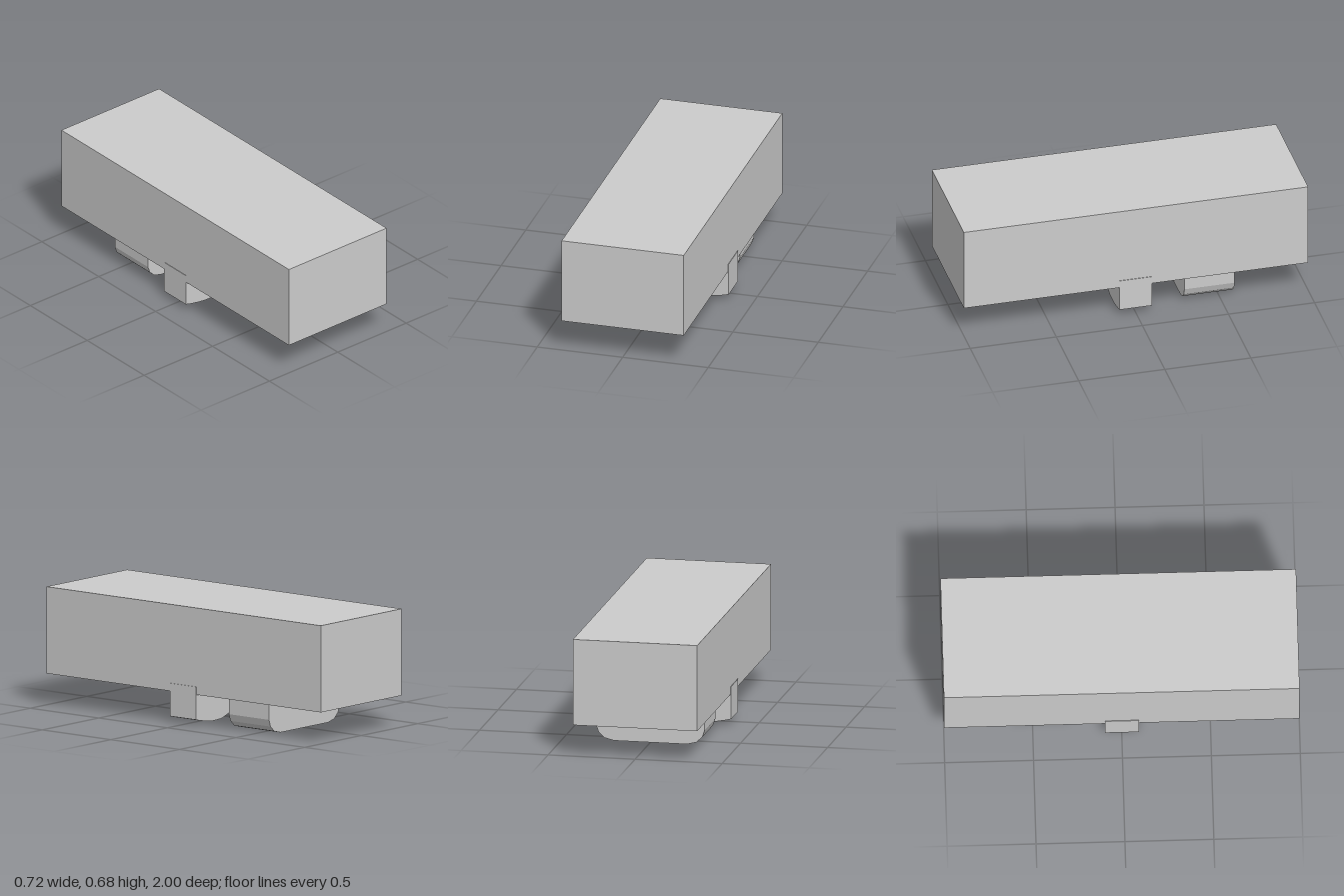
import * as THREE from 'three';

const material = new THREE.MeshStandardMaterial({ color: 0xcccccc, flatShading: true });

// Extrude an x-y outline between two z positions
function slab(name, points, zBack, zFront) {
  const shape = new THREE.Shape(points.map(([x, y]) => new THREE.Vector2(x, y)));
  const geometry = new THREE.ExtrudeGeometry(shape, { depth: zFront - zBack, bevelEnabled: false });
  geometry.translate(0, 0, zBack);
  const mesh = new THREE.Mesh(geometry, material);
  mesh.name = name;
  return mesh;
}

const mirrored = (points) => points.map(([x, y]) => [-x, y]).reverse();

export function createModel() {
  const model = new THREE.Group();
  model.name = 'model';

  // Long main block
  const body = new THREE.Mesh(new THREE.BoxGeometry(0.714, 0.495, 2), material);
  body.name = 'body';
  body.position.y = 0.4275;
  model.add(body);

  // Pair of rounded feet under the middle, lapping slightly over the body sides
  const foot = [
    [0, 0.225], [0, 0.138], [0.018, 0.08], [0.065, 0.038], [0.137, 0.014],
    [0.215, 0.011], [0.265, 0.017], [0.325, 0.028], [0.36, 0.037], [0.36, 0.225],
  ];
  model.add(slab('leftFoot', foot, -0.093, 0.097));
  model.add(slab('rightFoot', mirrored(foot), -0.093, 0.097));

  // Wide rear skid with rounded lower corners
  const skidHalf = [[0.21, 0], [0.265, 0.014], [0.298, 0.045], [0.312, 0.085], [0.312, 0.2]];
  model.add(slab('rearSkid', [...skidHalf, ...mirrored(skidHalf)], -0.585, -0.293));

  return model;
}
